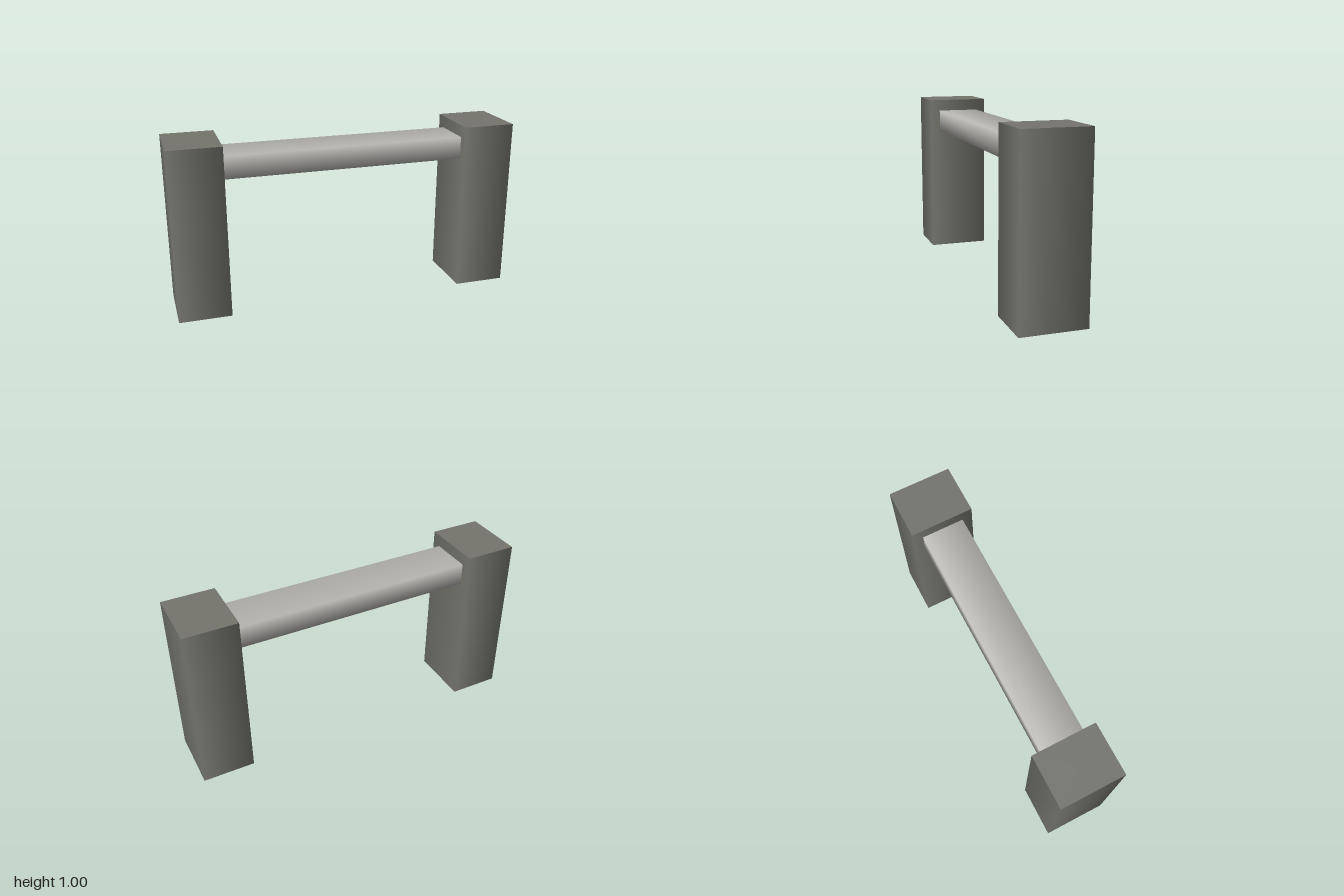
import * as THREE from 'three';

// Four-sided prism standing along y, with shading rounded across its side edges
function softPrism(width, height, depth) {
  const geometry = new THREE.CylinderGeometry(Math.SQRT1_2, Math.SQRT1_2, 1, 4, 1, false, Math.PI / 4);
  return geometry.scale(width, height, depth);
}

export function createModel() {
  const darkStone = new THREE.MeshStandardMaterial({ name: 'darkStone', color: 0x74746d });
  const paleStone = new THREE.MeshStandardMaterial({ name: 'paleStone', color: 0xb7b5b1 });

  const model = new THREE.Group();
  model.name = 'beamOnPosts';

  // Two upright posts
  const postHeight = 0.995;
  for (const side of [-1, 1]) {
    const post = new THREE.Mesh(softPrism(0.3, postHeight, 0.37), darkStone);
    post.name = side > 0 ? 'leftPost' : 'rightPost';
    post.position.set(side * 0.85, postHeight / 2, 0);
    model.add(post);
  }

  // Crossbeam between the posts, lying along x
  const beam = new THREE.Mesh(softPrism(0.13, 1.4, 0.25).rotateZ(Math.PI / 2), paleStone);
  beam.name = 'crossbeam';
  beam.position.y = 0.86;
  model.add(beam);

  return model;
}
